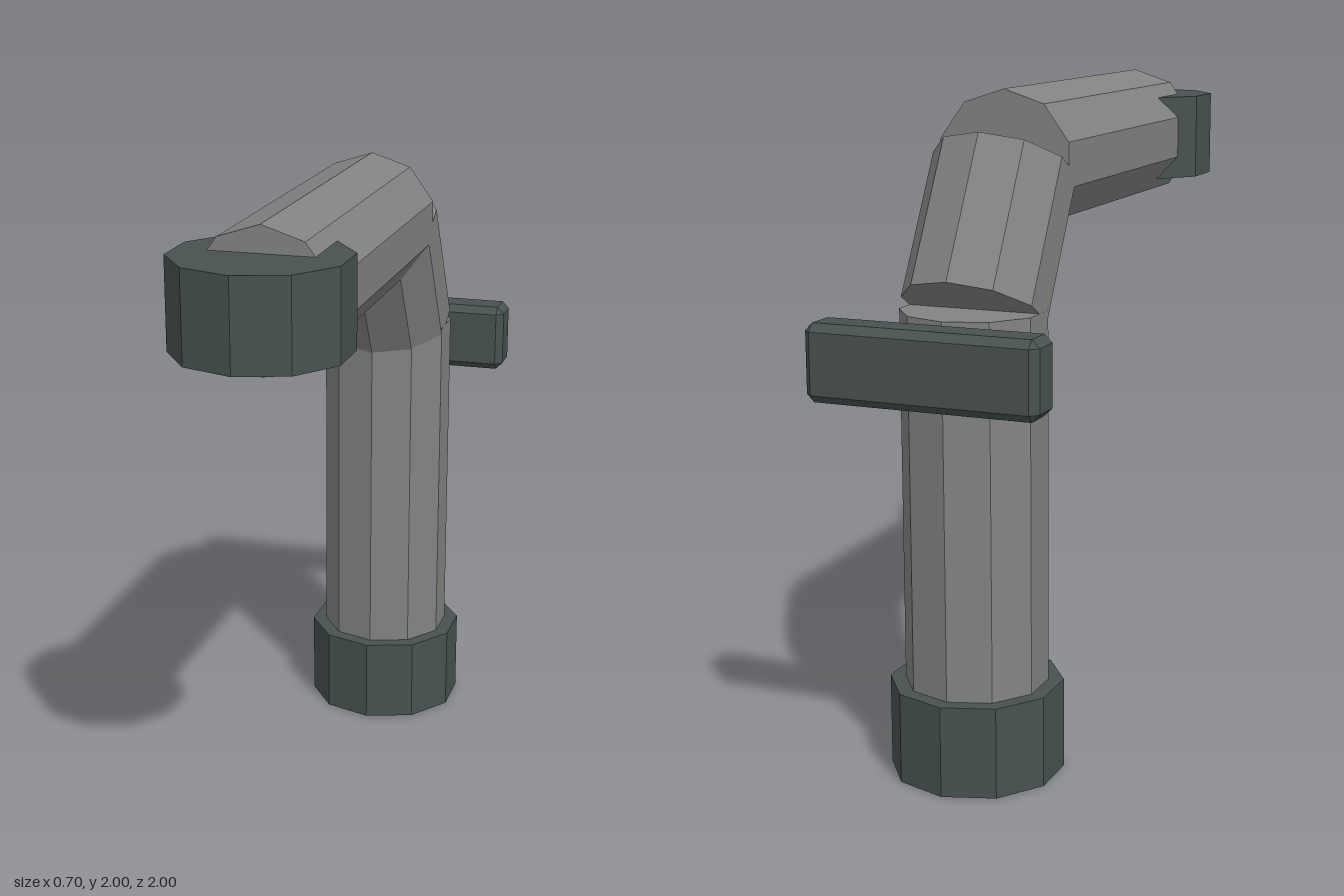
import * as THREE from 'three';
import { ConvexGeometry } from 'three/addons/geometries/ConvexGeometry.js';

export function createModel() {
  const group = new THREE.Group();
  const pipeGrey = new THREE.MeshStandardMaterial({ color: 0x828482 });
  pipeGrey.name = 'pipe grey';
  const fittingDark = new THREE.MeshStandardMaterial({ color: 0x485250 });
  fittingDark.name = 'dark fitting';

  // Ten-sided faceted tube centred at (0, y, z), tilted about x
  function tube(name, radius, length, y, z, tilt, material) {
    const geometry = new THREE.CylinderGeometry(radius, radius, length, 10).toNonIndexed();
    geometry.computeVertexNormals();
    const mesh = new THREE.Mesh(geometry, material);
    mesh.name = name;
    mesh.position.set(0, y, z);
    mesh.rotation.x = tilt;
    group.add(mesh);
  }

  // Box with a single flat chamfer on every edge
  function chamferedBox(w, h, d, c) {
    const points = [];
    for (const sx of [-1, 1]) for (const sy of [-1, 1]) for (const sz of [-1, 1]) {
      for (let axis = 0; axis < 3; axis++) {
        const inset = [c, c, c];
        inset[axis] = 0;
        points.push(new THREE.Vector3(
          sx * (w / 2 - inset[0]), sy * (h / 2 - inset[1]), sz * (d / 2 - inset[2])));
      }
    }
    return new ConvexGeometry(points);
  }

  // Pipe run: upright, slanted elbow, horizontal spout
  tube('uprightPipe', 0.214, 1.37, 0.705, -0.625, 0, pipeGrey);
  tube('elbowPipe', 0.2135, 0.455, 1.586, -0.509, Math.PI / 6, pipeGrey);
  tube('spoutPipe', 0.2135, 1.14, 1.7865, 0.17, Math.PI / 2, pipeGrey);

  // Collars at the foot and at the spout end
  tube('baseCollar', 0.26, 0.275, 0.1375, -0.625, 0, fittingDark);
  tube('spoutCollar', 0.26, 0.27, 1.785, 0.74, 0, fittingDark);

  // Crossbar handle behind the upright
  const handle = new THREE.Mesh(chamferedBox(0.7, 0.225, 0.134, 0.023), fittingDark);
  handle.name = 'handle';
  handle.position.set(0, 1.277, -0.933);
  group.add(handle);

  return group;
}
